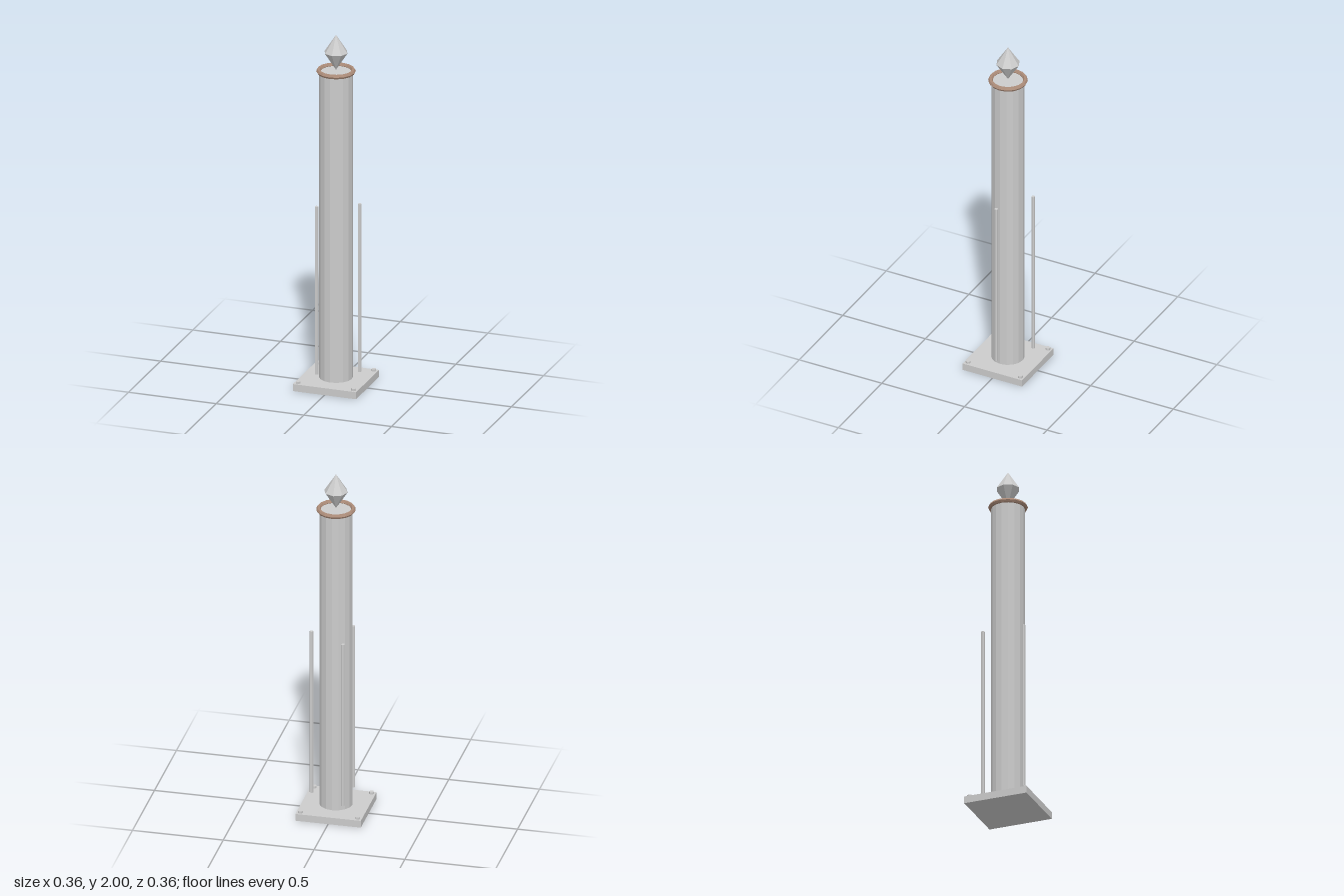
import * as THREE from 'three';

export function createModel() {
  const model = new THREE.Group();
  const grey = new THREE.MeshStandardMaterial({ color: 0xcccccc, flatShading: true });
  const copper = new THREE.MeshStandardMaterial({ color: 0xac8c79, flatShading: true });

  const add = (name, geometry, x, y, z, material = grey) => {
    const mesh = new THREE.Mesh(geometry, material);
    mesh.name = name;
    mesh.position.set(x, y, z);
    model.add(mesh);
    return mesh;
  };
  // hexagonal bar with corners pointing along x
  const hexBar = (r, h) => new THREE.CylinderGeometry(r, r, h, 6).rotateY(Math.PI / 2);

  // square base plate with a bolt near each corner
  add('basePlate', new THREE.BoxGeometry(0.36, 0.04, 0.36), 0, 0.02, 0);
  for (const x of [-1, 1])
    for (const z of [-1, 1])
      add('bolt', hexBar(0.0135, 0.014), x * 0.158, 0.045, z * 0.158);

  // column
  add('column', new THREE.CylinderGeometry(0.09, 0.09, 1.75, 16), 0, 0.915, 0);

  // three upright rods spaced evenly around the column
  for (let i = 0; i < 3; i++) {
    const a = (i * Math.PI * 2) / 3;
    add('rod', hexBar(0.01, 0.96), 0.135 * Math.cos(a), 0.57, 0.135 * Math.sin(a));
  }

  // ring around the column top
  add('topRing', new THREE.TorusGeometry(0.094, 0.0125, 6, 16).rotateX(Math.PI / 2), 0, 1.793, 0, copper);

  // eight-sided double-pointed finial
  const profile = [[0, -0.1], [0.065, 0], [0, 0.1]].map(([r, y]) => new THREE.Vector2(r, y));
  add('finial', new THREE.LatheGeometry(profile, 8), 0, 1.9, 0);

  return model;
}
